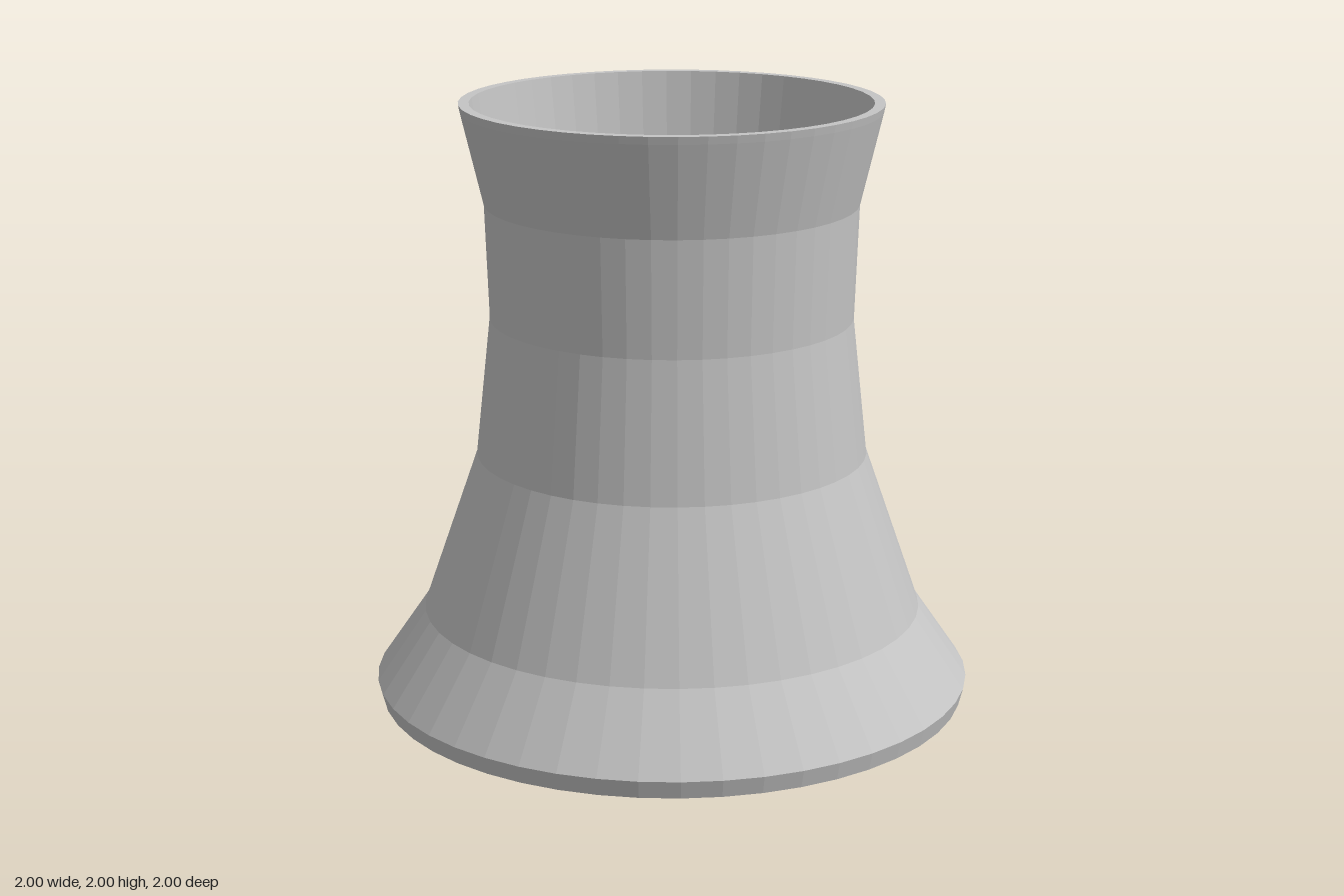
import * as THREE from 'three';

const SEGMENTS = 48;

// Faceted surface of revolution from [radius, height] pairs
function ring(name, profile, material) {
  const points = profile.map(([r, y]) => new THREE.Vector2(r, y));
  const geometry = new THREE.LatheGeometry(points, SEGMENTS).toNonIndexed();
  geometry.computeVertexNormals();
  const mesh = new THREE.Mesh(geometry, material);
  mesh.name = name;
  return mesh;
}

export function createModel() {
  const concrete = new THREE.MeshStandardMaterial({ color: 0xc4c4c4 });
  concrete.name = 'concrete';

  const tower = new THREE.Group();
  tower.name = 'coolingTower';

  // Base band, flared skirt, waist and widening mouth, bottom to top
  const outer = [
    [0.985, 0], [1, 0.06], [0.835, 0.3], [0.65, 0.83],
    [0.6, 1.29], [0.613, 1.67], [0.685, 1.975], [0.69, 2],
  ];
  // Hollow inside, top to bottom, thinnest at the waist
  const inner = [
    [0.655, 2], [0.602, 1.62], [0.594, 1.29],
    [0.63, 0.83], [0.805, 0.3], [0.95, 0],
  ];

  tower.add(
    ring('outerWall', outer, concrete),
    ring('topRim', [outer[outer.length - 1], inner[0]], concrete),
    ring('innerWall', inner, concrete),
    ring('bottomRim', [inner[inner.length - 1], outer[0]], concrete),
  );
  return tower;
}
